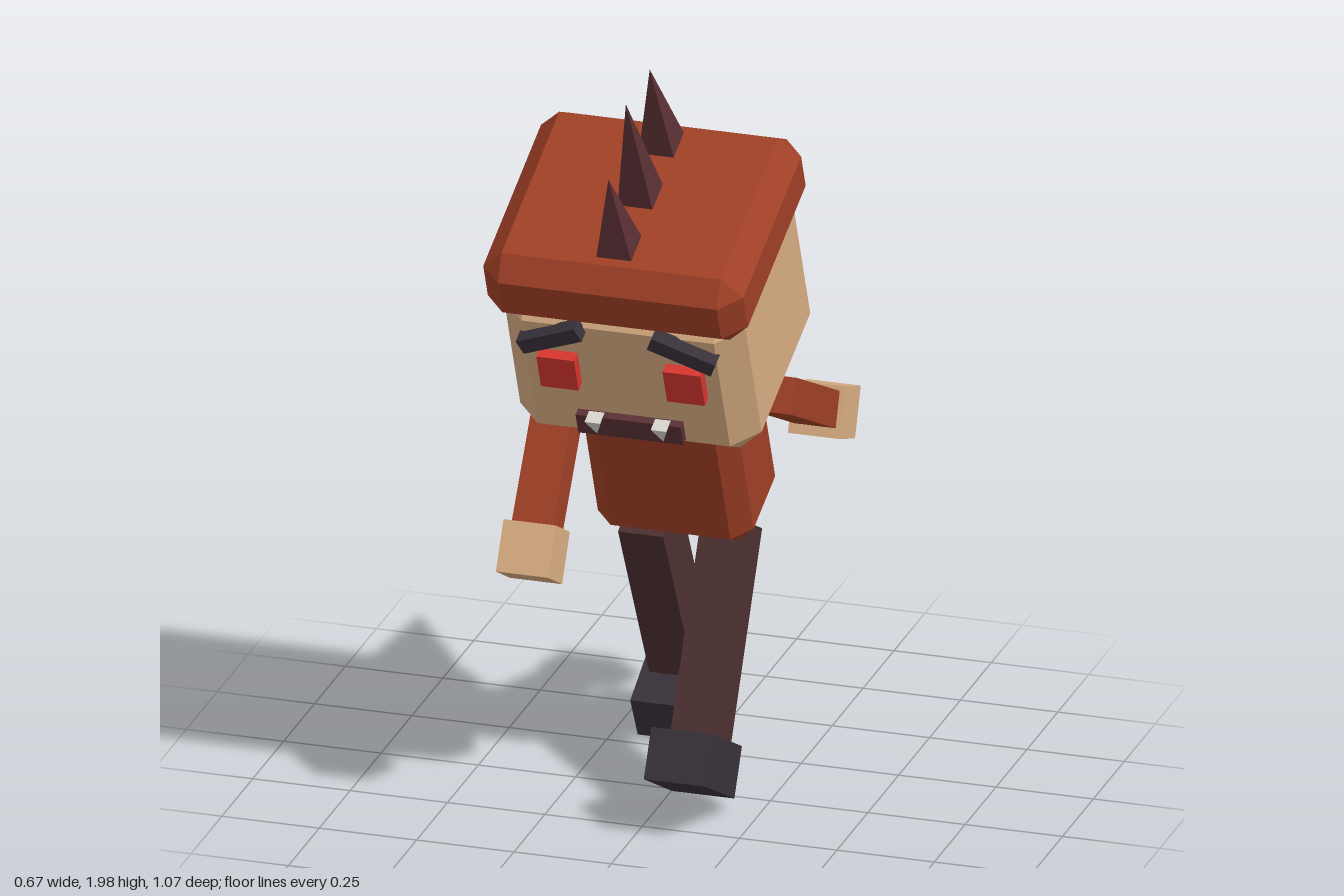
import * as THREE from 'three';
import { ConvexGeometry } from 'three/addons/geometries/ConvexGeometry.js';

const mat = (name, color) => {
  const m = new THREE.MeshStandardMaterial({ color });
  m.name = name;
  return m;
};

export function createModel() {
  const rust = mat('rust red', 0xa04026);
  const skin = mat('tan skin', 0xd9ad82);
  const trousers = mat('dark brown', 0x4d3031);
  const boots = mat('charcoal', 0x38313a);
  const horn = mat('maroon', 0x5a3034);
  const eyeRed = mat('eye red', 0xd6352e);
  const ivory = mat('ivory', 0xd6d3cc);

  const model = new THREE.Group();
  model.name = 'creature';

  const add = (parent, name, geometry, material, x, y, z) => {
    const mesh = new THREE.Mesh(geometry, material);
    mesh.name = name;
    mesh.position.set(x, y, z);
    parent.add(mesh);
    return mesh;
  };
  const box = (w, h, d) => new THREE.BoxGeometry(w, h, d);

  // Box with every edge cut at 45 degrees by b
  const chamferBox = (w, h, d, b) => {
    const pts = [];
    for (const sx of [-1, 1]) for (const sy of [-1, 1]) for (const sz of [-1, 1]) {
      const x = w / 2, y = h / 2, z = d / 2;
      pts.push(
        new THREE.Vector3(sx * x, sy * (y - b), sz * (z - b)),
        new THREE.Vector3(sx * (x - b), sy * y, sz * (z - b)),
        new THREE.Vector3(sx * (x - b), sy * (y - b), sz * z));
    }
    return new ConvexGeometry(pts);
  };

  // Square pyramid standing on y = 0
  const pyramid = (side, h) =>
    new THREE.ConeGeometry(side * Math.SQRT1_2, h, 4).rotateY(Math.PI / 4)
      .toNonIndexed().translate(0, h / 2, 0);
  const faceted = (g) => { g.computeVertexNormals(); return g; };

  // Head and torso lean forward together
  const upper = new THREE.Group();
  upper.name = 'upperBody';
  upper.rotation.x = 0.383;
  model.add(upper);

  add(upper, 'torso', chamferBox(0.4, 0.45, 0.28, 0.046), rust, 0, 0.836, -0.382);
  add(upper, 'head', chamferBox(0.62, 0.475, 0.55, 0.063), skin, 0, 1.292, -0.382);
  add(upper, 'cap', chamferBox(0.668, 0.205, 0.61, 0.053), rust, 0, 1.567, -0.382);

  // Row of spikes on the cap, and one behind the back
  for (const [z, h] of [[-0.2, 0.23], [-0.385, 0.31], [-0.57, 0.252]])
    add(upper, 'capSpike', faceted(pyramid(0.09, h)), horn, 0, 1.668, z);
  add(upper, 'backSpike', faceted(pyramid(0.13, 0.263)), horn, 0, 0.926, -0.641)
    .rotation.x = -Math.PI / 2;

  // Face
  add(upper, 'mouth', box(0.27, 0.06, 0.03), horn, 0, 1.155, -0.1);
  for (const s of [-1, 1]) {
    add(upper, 'eye', box(0.097, 0.1, 0.034), eyeRed, s * 0.162, 1.328, -0.094);
    add(upper, 'brow', box(0.17, 0.042, 0.04), boots, s * 0.17, 1.44, -0.092)
      .rotation.z = -s * 0.4;
    add(upper, 'tooth', faceted(pyramid(0.04, 0.055)), ivory, s * 0.085, 1.187, -0.082)
      .rotation.x = Math.PI;
  }

  // Arms and legs swing in opposite directions, mid stride
  for (const [s, armSwing, legSwing] of [[1, 1.11, -0.49], [-1, -0.6, 0.49]]) {
    const arm = new THREE.Group();
    arm.name = s > 0 ? 'leftArm' : 'rightArm';
    arm.position.set(s * 0.267, 1.105, 0.032);
    arm.rotation.x = armSwing;
    add(arm, 'sleeve', box(0.106, 0.42, 0.092), rust, 0, -0.21, 0);
    add(arm, 'hand', box(0.134, 0.13, 0.13), skin, 0, -0.463, 0).rotation.x = 0.1;

    const leg = new THREE.Group();
    leg.name = s > 0 ? 'leftLeg' : 'rightLeg';
    leg.position.set(s * 0.107, 0.676, -0.138);
    leg.rotation.x = legSwing;
    add(leg, 'trouserLeg', box(0.116, 0.545, 0.143), trousers, 0, -0.272, 0);
    add(leg, 'boot', box(0.16, 0.13, 0.26), boots, 0, -0.6, 0.037);
    model.add(arm, leg);
  }
  return model;
}
